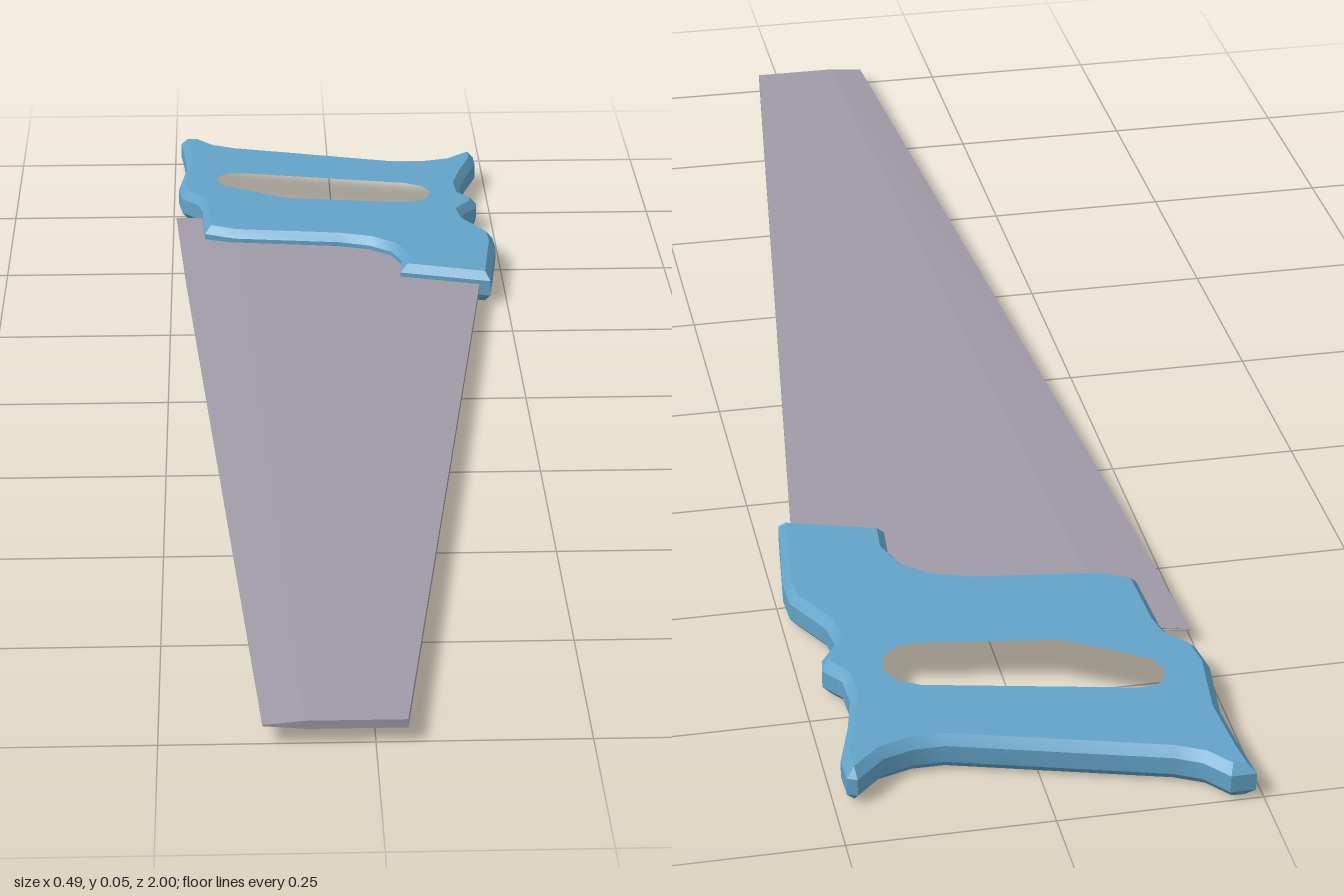
import * as THREE from 'three';
import { toCreasedNormals } from 'three/addons/utils/BufferGeometryUtils.js';

const MID = 0.0235; // height of the saw's middle plane

// Points are [x, z] seen from above; the shape is laid flat after extrusion.
const toPoints = (list) => list.map(([x, z]) => new THREE.Vector2(x, -z));

function makeHandle(material) {
  const outline = [
    [-0.24, -1], [-0.209, -1], [-0.183, -0.968], [-0.151, -0.952],
    [0.108, -0.878], [0.146, -0.878], [0.185, -0.89], [0.222, -0.925], [0.234, -0.92],
    [0.235, -0.884], [0.215, -0.82], [0.203, -0.767], [0.205, -0.725], [0.225, -0.698],
    [0.222, -0.677], [0.2, -0.645], [0.205, -0.608], [0.24, -0.545], [0.242, -0.503],
    [0.225, -0.362], [0.093, -0.402], [0.097, -0.45], [0.083, -0.49], [0.05, -0.518],
    [0.003, -0.534], [-0.156, -0.555], [-0.2, -0.577], [-0.204, -0.677], [-0.21, -0.704],
    [-0.236, -0.735], [-0.242, -0.778], [-0.23, -0.873], [-0.235, -0.952],
  ];
  const grip = [
    [-0.193, -0.79], [-0.186, -0.815], [-0.165, -0.83], [-0.14, -0.83],
    [0.119, -0.775], [0.15, -0.757], [0.165, -0.725], [0.157, -0.69],
    [0.13, -0.667], [0.095, -0.667], [-0.077, -0.694], [-0.13, -0.725], [-0.18, -0.757],
  ];
  const shape = new THREE.Shape(toPoints(outline));
  shape.holes.push(new THREE.Path(toPoints(grip)));
  const bevel = 0.012;
  const geometry = new THREE.ExtrudeGeometry(shape, {
    depth: 2 * (MID - bevel),
    bevelThickness: bevel,
    bevelSize: 0.01,
    bevelOffset: -0.01,
    bevelSegments: 1,
  });
  geometry.translate(0, 0, bevel);
  geometry.rotateX(-Math.PI / 2);
  const handle = new THREE.Mesh(toCreasedNormals(geometry, 0.6), material);
  handle.name = 'handle';
  return handle;
}

function makeBlade(material) {
  // Each section: cutting edge, end of the ground bevel, thick back, as [x, z]
  const sections = [
    [[-0.13, 1], [-0.08, 1], [0.037, 1]],
    [[-0.228, -0.4], [-0.14, -0.4], [0.213, -0.4]],
    [[-0.245, -0.678], [-0.15, -0.66], [0.19, -0.58]],
  ];
  const half = 0.0053, edge = 0.0008;
  const positions = [], indices = [];
  for (const [a, b, c] of sections) {
    // Loop round the section: along the top, then back along the underside
    const loop = [[a, edge], [b, half], [c, half], [c, -half], [b, -half], [a, -edge]];
    for (const [[x, z], y] of loop) positions.push(x, MID + y, z);
  }
  const n = 6, last = (sections.length - 1) * n;
  for (let s = 0; s < sections.length - 1; s++) {
    for (let i = 0; i < n; i++) {
      const p = s * n + i, q = s * n + (i + 1) % n;
      indices.push(p, q, p + n, q, q + n, p + n);
    }
  }
  // Caps at the tip and heel
  for (let i = 1; i < n - 1; i++) {
    indices.push(0, i + 1, i, last, last + i, last + i + 1);
  }
  const geometry = new THREE.BufferGeometry();
  geometry.setAttribute('position', new THREE.Float32BufferAttribute(positions, 3));
  geometry.setIndex(indices);
  const flat = geometry.toNonIndexed();
  flat.computeVertexNormals();
  const blade = new THREE.Mesh(flat, material);
  blade.name = 'blade';
  return blade;
}

export function createModel() {
  const handleBlue = new THREE.MeshStandardMaterial({ color: 0x62a3c8 });
  handleBlue.name = 'handle blue';
  const bladeSteel = new THREE.MeshStandardMaterial({ color: 0x9f9aa7, side: THREE.DoubleSide });
  bladeSteel.name = 'blade steel';

  const saw = new THREE.Group();
  saw.name = 'handSaw';
  saw.add(makeHandle(handleBlue), makeBlade(bladeSteel));
  return saw;
}
